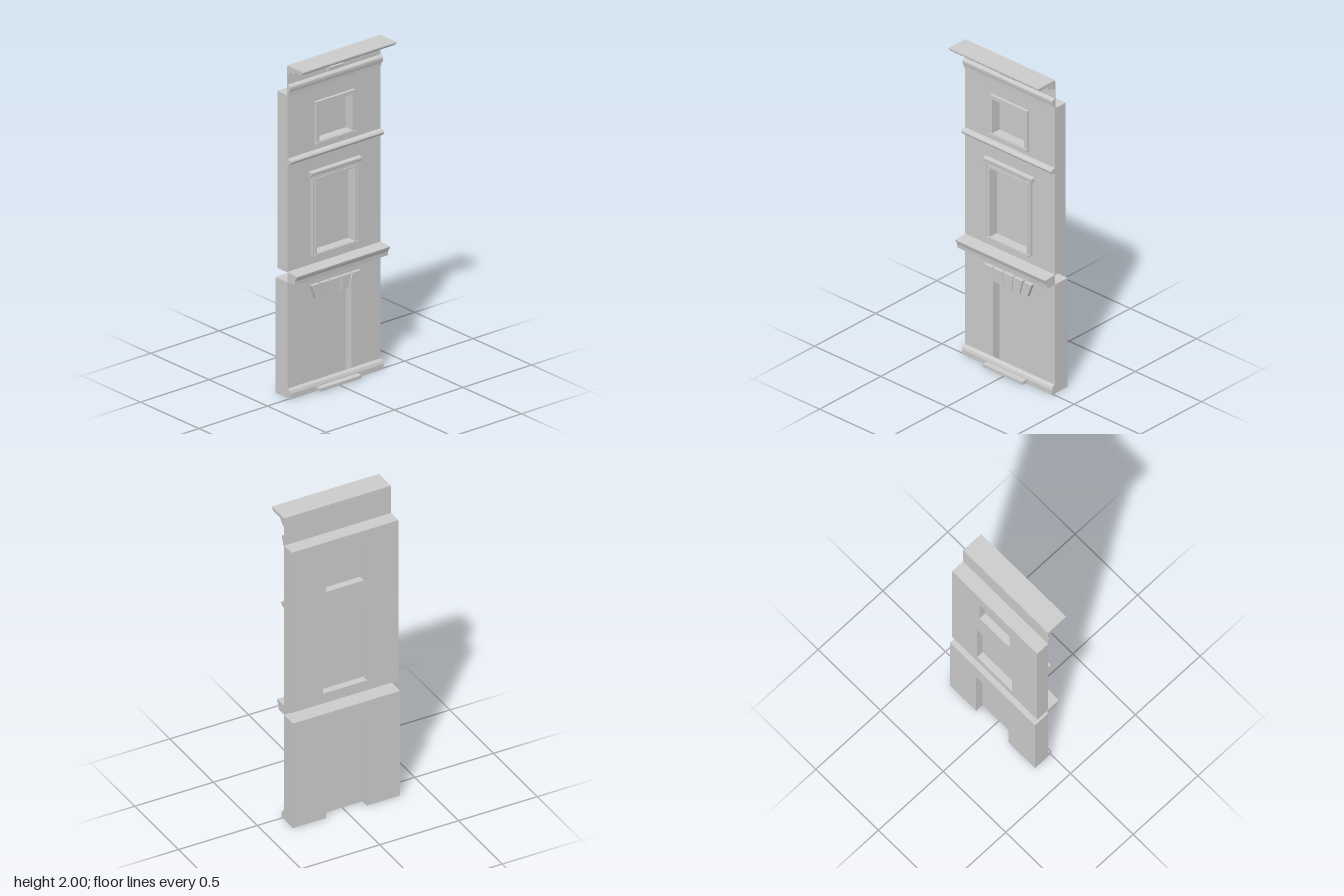
import * as THREE from 'three';

const W = 0.68;      // facade width
const F = -0.018;    // front plane of the wall

export function createModel() {
  const model = new THREE.Group();
  model.name = 'facade';
  const mat = new THREE.MeshStandardMaterial({ color: 0xcccccc, flatShading: true, side: THREE.DoubleSide });

  const add = (name, geo, parent = model) => {
    const mesh = new THREE.Mesh(geo, mat);
    mesh.name = name;
    parent.add(mesh);
    return mesh;
  };
  const group = (name) => {
    const g = new THREE.Group();
    g.name = name;
    model.add(g);
    return g;
  };
  const poly = (pts) => new THREE.Shape(pts.map(([x, y]) => new THREE.Vector2(x, y)));
  const rect = (hw, y0, y1) => [[-hw, y0], [hw, y0], [hw, y1], [-hw, y1]];

  // Outline in x/y with optional opening, running from z0 to z1
  const slab = (name, pts, z0, z1, hole, parent) => {
    const shape = poly(pts);
    if (hole) [].concat(hole).forEach((h) => shape.holes.push(h));
    const geo = new THREE.ExtrudeGeometry(shape, { depth: z1 - z0, bevelEnabled: false });
    return add(name, geo.translate(0, 0, z0), parent);
  };
  // Profile of [z, y] points swept along x
  const molding = (name, pts, length = W, parent = model) => {
    const geo = new THREE.ExtrudeGeometry(poly(pts), { depth: length, bevelEnabled: false });
    return add(name, geo.translate(0, 0, -length / 2).rotateY(-Math.PI / 2), parent);
  };
  const box = (name, w, y0, y1, z0, z1, parent, x = 0) =>
    add(name, new THREE.BoxGeometry(w, y1 - y0, z1 - z0).translate(x, (y0 + y1) / 2, (z0 + z1) / 2), parent);
  const pane = (name, hw, y0, y1, z) =>
    add(name, new THREE.PlaneGeometry(2 * hw, y1 - y0).translate(0, (y0 + y1) / 2, z));

  // Walls, with the doorway notched out of the lower one
  slab('lowerWall', [[-0.34, 0], [-0.13, 0], [-0.13, 0.55], [0.13, 0.55], [0.13, 0],
    [0.34, 0], [0.34, 0.695], [-0.34, 0.695]], -0.12, F);
  slab('upperWall', rect(0.34, 0.755, 1.82), -0.103, F,
    [poly(rect(0.14, 0.82, 1.26)), poly(rect(0.12, 1.49, 1.707))]);
  box('frieze', W, 1.82, 1.99, F - 0.001, F + 0.002);

  // Door and window panes
  pane('door', 0.13, 0, 0.55, -0.07);
  pane('middleWindowPane', 0.14, 0.82, 1.26, -0.06);
  pane('topWindowPane', 0.12, 1.49, 1.707, -0.06);

  // Plinth and doorstep
  molding('plinth', [[F, 0], [0.008, 0], [0.008, 0.03], [0.002, 0.046], [-0.008, 0.055], [F, 0.055]]);
  box('doorstep', 0.30, 0.006, 0.025, F, 0.045);
  box('doorstepBase', 0.28, 0, 0.006, F, 0.035);

  // Five splayed stones above the door
  const arch = group('doorArch');
  const stones = [[-0.029, 0.029, -0.037, 0.037], [0.035, 0.09, 0.043, 0.11], [0.097, 0.148, 0.12, 0.18]];
  stones.forEach(([b0, b1, t0, t1], i) => {
    const sides = i === 0 ? [1] : [1, -1];
    sides.forEach((s) => slab('archStone',
      [[s * b0, 0.55], [s * b1, 0.55], [s * t1, 0.635], [s * t0, 0.635]], F, 0.003, null, arch));
  });

  // Cornice between the lower and upper walls
  molding('middleCornice', [[F, 0.695], [0.046, 0.695], [0.048, 0.72], [0.054, 0.735],
    [0.062, 0.74], [0.065, 0.752], [F, 0.757]]);

  // Middle window surround: stepped frame, hood and sill
  const mid = group('middleWindowSurround');
  slab('outerFrame', rect(0.17, 0.815, 1.29), F, -0.004, poly(rect(0.142, 0.82, 1.262)), mid);
  slab('innerBead', rect(0.152, 0.817, 1.274), F, 0.001, poly(rect(0.14, 0.821, 1.26)), mid);
  slab('outerBead', rect(0.17, 0.815, 1.29), F, 0.001, poly(rect(0.161, 0.819, 1.281)), mid);
  molding('hood', [[F, 1.288], [-0.002, 1.288], [0.001, 1.298], [0.007, 1.302],
    [0.007, 1.314], [F, 1.318]], 0.37, mid);
  box('sill', 0.315, 0.803, 0.818, F, 0.006, mid);

  // Top window surround
  const top = group('topWindowSurround');
  slab('frame', rect(0.143, 1.485, 1.73), F, 0, poly(rect(0.12, 1.49, 1.707)), top);
  box('sill', 0.29, 1.472, 1.487, F, 0.006, top);

  // Rounded string course
  molding('stringCourse', [[F, 1.405], [0.002, 1.405], [0.004, 1.412], [0.011, 1.415], [0.015, 1.423],
    [0.011, 1.432], [0.002, 1.436], [F, 1.438]]);

  // Frieze bands below the top cornice
  molding('lowerFriezeBand', [[F, 1.815], [-0.009, 1.82], [-0.008, 1.838], [0.001, 1.845],
    [0.004, 1.86], [0.004, 1.872], [-0.002, 1.88], [F, 1.884]]);

  // Small scrolled block at the centre of the frieze
  const block = group('friezeBlock');
  box('blockBody', 0.116, 1.89, 1.928, F, -0.002, block);
  const roll = new THREE.CylinderGeometry(0.009, 0.009, 0.1, 12).rotateZ(Math.PI / 2);
  add('blockRoll', roll.translate(0, 1.912, -0.002), block);

  // Top cornice with a row of dentils
  molding('topCornice', [[F, 1.942], [-0.006, 1.945], [0.004, 1.953], [0.012, 1.957], [0.012, 1.978],
    [0.105, 1.978], [0.11, 1.986], [0.12, 1.992], [0.12, 2], [F, 2]]);
  const dentils = group('dentils');
  const count = 24;
  for (let i = 0; i < count; i++) {
    box('dentil', 0.018, 1.957, 1.979, 0.01, 0.034, dentils, ((i + 0.5) / count - 0.5) * W);
  }
  return model;
}
